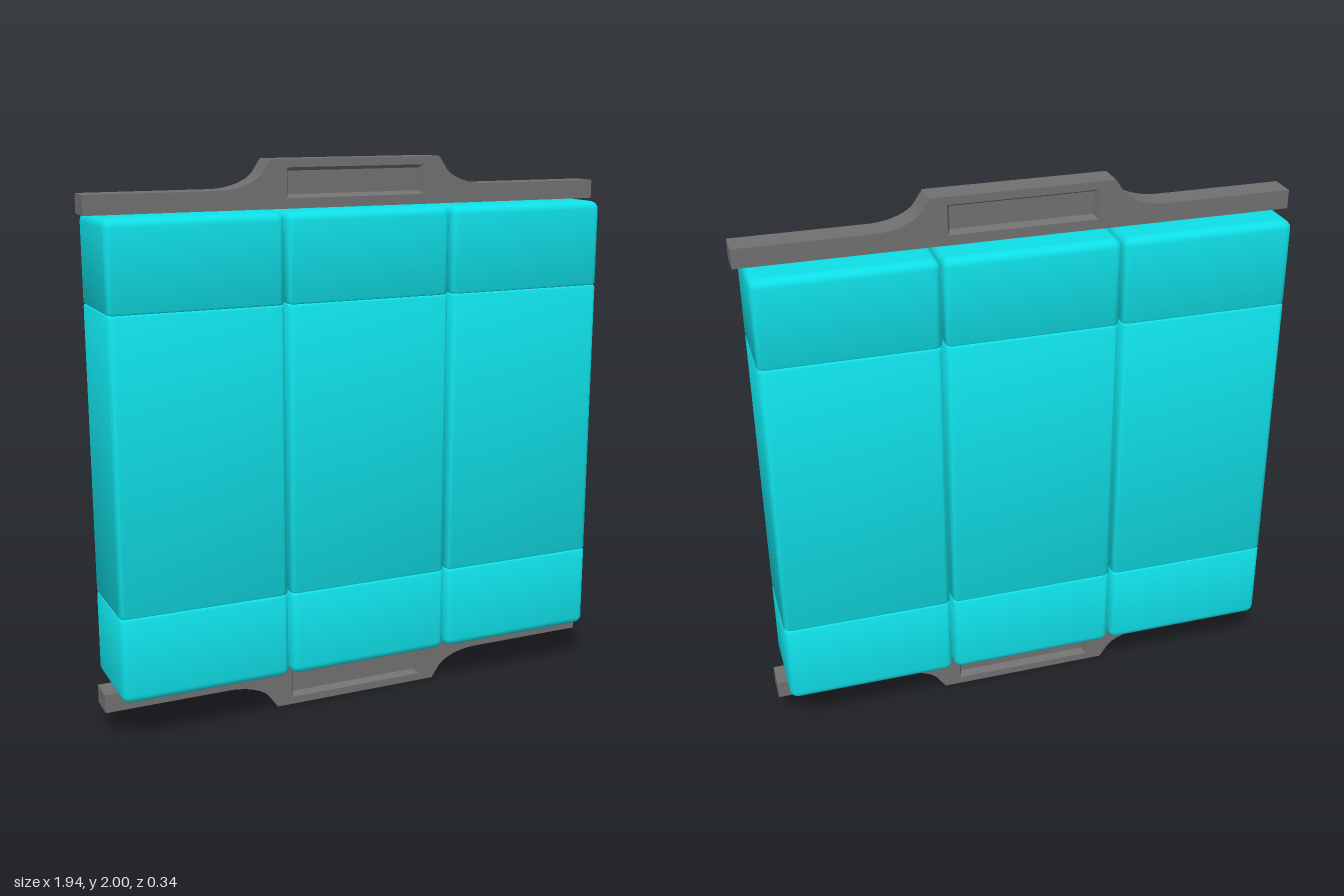
import * as THREE from 'three';
import { toCreasedNormals } from 'three/addons/utils/BufferGeometryUtils.js';

const cyan = new THREE.MeshStandardMaterial({ color: 0x0fdfe7 });
const darkGrey = new THREE.MeshStandardMaterial({ color: 0x707070 });

// Stacks rounded rectangles along y; profile rows are [y, inset].
function loft(w, d, radius, steps, profile, capStart) {
  const pos = [], index = [], n = 4 * (steps + 1), last = profile.length - 1;
  for (const [y, inset] of profile) {
    const r = Math.max(radius - inset * 0.5, 0);
    for (let q = 0; q < 4; q++) {
      const sx = q === 0 || q === 3 ? 1 : -1, sz = q < 2 ? -1 : 1;
      for (let s = 0; s <= steps; s++) {
        const a = (q + (steps ? s / steps : 0.5)) * Math.PI / 2;
        pos.push(sx * (w / 2 - inset - r) + r * Math.cos(a), y, sz * (d / 2 - inset - r) - r * Math.sin(a));
      }
    }
  }
  for (let k = 0; k < last; k++) {
    for (let i = 0; i < n; i++) {
      const a = k * n + i, b = k * n + (i + 1) % n;
      index.push(a, b, b + n, a, b + n, a + n);
    }
  }
  for (let i = 1; i < n - 1; i++) {
    if (capStart) index.push(0, i + 1, i);
    index.push(last * n, last * n + i, last * n + i + 1);
  }
  const g = new THREE.BufferGeometry();
  g.setAttribute('position', new THREE.Float32BufferAttribute(pos, 3));
  g.setIndex(index);
  return toCreasedNormals(g, 0.6);
}

// Column with rounded ends and two shallow seams
function columnGeometry() {
  const half = [], R = 0.028, seam = 0.52, s = 0.008;
  for (let i = 0; i <= 4; i++) {
    const a = i / 4 * Math.PI / 2;
    half.push([0.83 - R + R * Math.sin(a), R * (1 - Math.cos(a))]);
  }
  const upper = [[seam - s, 0], [seam - s * 0.3, s * 0.35], [seam, s * 1.3], [seam + s * 0.3, s * 0.35], [seam + s, 0], ...half];
  const lower = upper.map(([y, inset]) => [-y, inset]).reverse();
  return loft(0.617, 0.34, 0.026, 4, [...lower, ...upper], true);
}

// Flat rail with a raised middle and a recessed panel on both faces
function makeRail() {
  const rail = new THREE.Group();
  const shape = new THREE.Shape();
  shape.moveTo(-0.97, 0);
  shape.lineTo(0.97, 0);
  shape.lineTo(0.97, 0.067);
  shape.lineTo(0.5, 0.067);
  shape.bezierCurveTo(0.43, 0.07, 0.365, 0.095, 0.347, 0.13);
  shape.lineTo(0.322, 0.167);
  shape.lineTo(-0.322, 0.167);
  shape.lineTo(-0.347, 0.13);
  shape.bezierCurveTo(-0.365, 0.095, -0.43, 0.07, -0.5, 0.067);
  shape.lineTo(-0.97, 0.067);
  const w = 0.526, h = 0.104, mid = 0.087;
  const hole = new THREE.Path();
  hole.moveTo(-w / 2, mid - h / 2);
  hole.lineTo(-w / 2, mid + h / 2);
  hole.lineTo(w / 2, mid + h / 2);
  hole.lineTo(w / 2, mid - h / 2);
  hole.closePath();
  shape.holes.push(hole);
  const plate = new THREE.ExtrudeGeometry(shape, { depth: 0.1, bevelEnabled: false, curveSegments: 10 });
  plate.translate(0, 0, -0.05);
  const plateMesh = new THREE.Mesh(toCreasedNormals(plate, 0.5), darkGrey);
  plateMesh.name = 'railPlate';
  rail.add(plateMesh);

  // Sloping walls and floor of each recess
  for (const side of [1, -1]) {
    const panel = new THREE.Mesh(loft(w, h, 0, 0, [[0.05, 0], [0.025, 0.012]], false), darkGrey);
    panel.name = side > 0 ? 'frontRecess' : 'backRecess';
    panel.rotation.x = side * Math.PI / 2;
    panel.position.y = mid;
    rail.add(panel);
  }
  return rail;
}

export function createModel() {
  const model = new THREE.Group();
  model.name = 'bundle';

  // Three columns side by side
  const geometry = columnGeometry();
  ['rightColumn', 'middleColumn', 'leftColumn'].forEach((name, i) => {
    const column = new THREE.Mesh(geometry, cyan);
    column.name = name;
    column.position.set((i - 1) * 0.626, 1, 0);
    model.add(column);
  });

  // Matching rails above and below
  const top = makeRail();
  top.name = 'topRail';
  top.position.y = 1.833;
  const bottom = makeRail();
  bottom.name = 'bottomRail';
  bottom.rotation.z = Math.PI;
  bottom.position.y = 0.167;
  model.add(top, bottom);
  return model;
}
